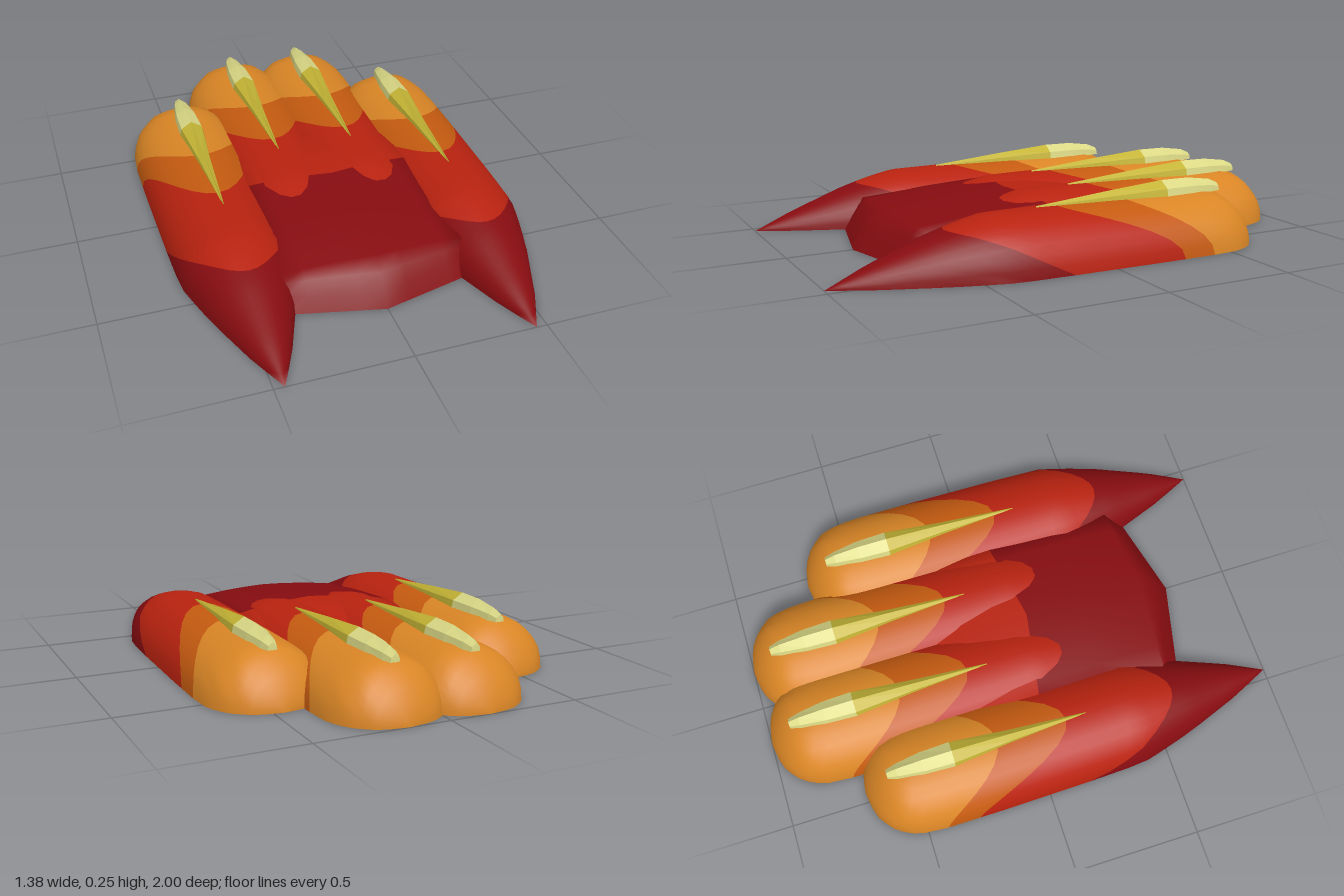
import * as THREE from 'three';
import { mergeVertices } from 'three/addons/utils/BufferGeometryUtils.js';

const mat = (name, color) => {
  const m = new THREE.MeshStandardMaterial({ color });
  m.name = name;
  return m;
};

// Surface from rows (front to back) and columns (+x to -x); bands = rows per material.
function loft(point, cols, bands, flat = false) {
  const rows = bands.reduce((a, b) => a + b, 0);
  const pos = [], idx = [];
  for (let i = 0; i <= rows; i++) for (let j = 0; j <= cols; j++) pos.push(...point(i, j));
  for (let i = 0; i < rows; i++) for (let j = 0; j < cols; j++) {
    const a = i * (cols + 1) + j, b = a + 1, c = a + cols + 1, d = c + 1;
    idx.push(a, c, b, b, c, d);
  }
  let g = new THREE.BufferGeometry();
  g.setAttribute('position', new THREE.Float32BufferAttribute(pos, 3));
  g.setIndex(idx);
  if (flat) g = g.toNonIndexed();
  else g = mergeVertices(g, 1e-5);
  g.computeVertexNormals();
  let start = 0;
  bands.forEach((n, k) => {
    g.addGroup(start, n * cols * 6, k);
    start += n * cols * 6;
  });
  return g;
}

// Linear lookup in a table sorted by falling first value.
function lookup(table, z) {
  for (let i = 1; i < table.length; i++) {
    const a = table[i - 1], b = table[i];
    if (z >= b[0]) {
      const t = Math.min(1, Math.max(0, (a[0] - z) / (a[0] - b[0])));
      return a.map((v, k) => v + (b[k] - v) * t);
    }
  }
  return table[table.length - 1];
}

// Lobe profile: z, half width, height
const LOBE = [
  [1, 0, 0], [0.85, 0.07, 0.063], [0.62, 0.155, 0.145], [0.5, 0.19, 0.178], [0.4, 0.217, 0.198],
  [0.2, 0.224, 0.2], [-0.2, 0.23, 0.2], [-0.42, 0.23, 0.2], [-0.52, 0.222, 0.199],
  [-0.58, 0.203, 0.187], [-0.635, 0.163, 0.135], [-0.67, 0.112, 0.08], [-0.688, 0.06, 0.04], [-0.695, 0, 0],
];

function lobeGeometry() {
  const cols = 16, per = 10;
  // Colour borders sweep forward towards the crest
  const borders = s => [1, 0.17 + 0.4 * s, -0.29 + 0.42 * s * s, -0.42 + 0.27 * s * s, -0.695];
  return loft((i, j) => {
    const th = (j / cols) * Math.PI, s = Math.sin(th), b = borders(s);
    const k = Math.min(3, Math.floor(i / per)), t = i / per - k;
    // rows crowd together on the rounded end
    const e = k === 3 ? 1 - (1 - t) ** 2 : t;
    const z = b[k] + (b[k + 1] - b[k]) * e;
    const [, w, h] = lookup(LOBE, z);
    return [w * Math.cos(th), h * s, z];
  }, cols, [per, per, per, per]);
}

// Flat underside, facing down
function floorGeometry(outline) {
  const pts = outline.map(([x, z]) => new THREE.Vector2(x, z));
  return new THREE.ShapeGeometry(new THREE.Shape(pts)).rotateX(Math.PI / 2);
}

// Claw rows: z, half width, top height
const CLAW = [
  [0.21, 0.003, 0.204], [-0.1, 0.026, 0.232], [-0.33, 0.05, 0.25],
  [-0.45, 0.045, 0.249], [-0.55, 0.029, 0.235], [-0.59, 0.018, 0.218], [-0.592, 0, 0.19],
];
const CLAW_SECTION = [[1, 0], [0.85, 0.55], [0, 1], [-0.85, 0.55], [-1, 0]];

function clawGeometry() {
  return loft((i, j) => {
    const [z, w, top] = CLAW[i], [u, v] = CLAW_SECTION[j];
    return [u * w, 0.19 + (top - 0.19) * v, z];
  }, 4, [2, 4], true);
}

// Palm rows: z at the centre line, height, how far the front point sweeps back at the sides
const PALM = [
  [0.745, 0, 0.085], [0.71, 0.06, 0.08], [0.67, 0.11, 0.07], [0.61, 0.143, 0.03], [0.35, 0.172, 0.02],
  [0.12, 0.188, 0.06], [0, 0.186, 0.04], [-0.14, 0.172, 0.02], [-0.26, 0.145, 0],
];

function palmGeometry() {
  const xs = [0.372, 0.36, 0.27, 0.18, 0.09, 0, -0.09, -0.18, -0.27, -0.36, -0.372];
  return loft((i, j) => {
    const [z, h, sweep] = PALM[i], x = xs[j], r = Math.abs(x) / 0.36;
    const edge = j === 0 || j === xs.length - 1;
    return [x, edge ? 0 : h * (1 - 0.18 * r * r), z - sweep * r];
  }, xs.length - 1, [5, 3]);
}

export function createModel() {
  const deepRed = mat('deep red', 0x860c10);
  const red = mat('red', 0xb8220f);
  const orange = mat('burnt orange', 0xc45a10);
  const amber = mat('amber', 0xd98525);
  const yellow = mat('claw yellow', 0xc4b435);
  const pale = mat('pale claw', 0xdad885);

  const model = new THREE.Group();
  model.name = 'clawedPaw';
  const add = (parent, name, geometry, material) => {
    const m = new THREE.Mesh(geometry, material);
    m.name = name;
    parent.add(m);
    return m;
  };

  // Palm between the outer toes
  add(model, 'palm', palmGeometry(), [deepRed, red]);
  add(model, 'palmSole', floorGeometry(
    [[0, 0.745], [-0.372, 0.66], [-0.372, -0.26], [0.372, -0.26], [0.372, 0.66]]), deepRed);

  // Four toes, the inner pair set further back
  const lobe = lobeGeometry(), claw = clawGeometry();
  const sole = floorGeometry([
    ...LOBE.map(([z, w]) => [w, z]),
    ...LOBE.slice(1, -1).reverse().map(([z, w]) => [-w, z]),
  ]);
  for (const side of [1, -1]) {
    for (const [kind, x, z] of [['outer', 0.46, 0], ['inner', 0.155, -0.305]]) {
      const toe = new THREE.Group();
      toe.name = kind + (side > 0 ? 'LeftToe' : 'RightToe');
      toe.position.set(side * x, 0, z);
      add(toe, 'toePad', lobe, [deepRed, red, orange, amber]);
      add(toe, 'toeSole', sole, deepRed);
      add(toe, 'claw', claw, [yellow, pale]);
      model.add(toe);
    }
  }
  return model;
}
